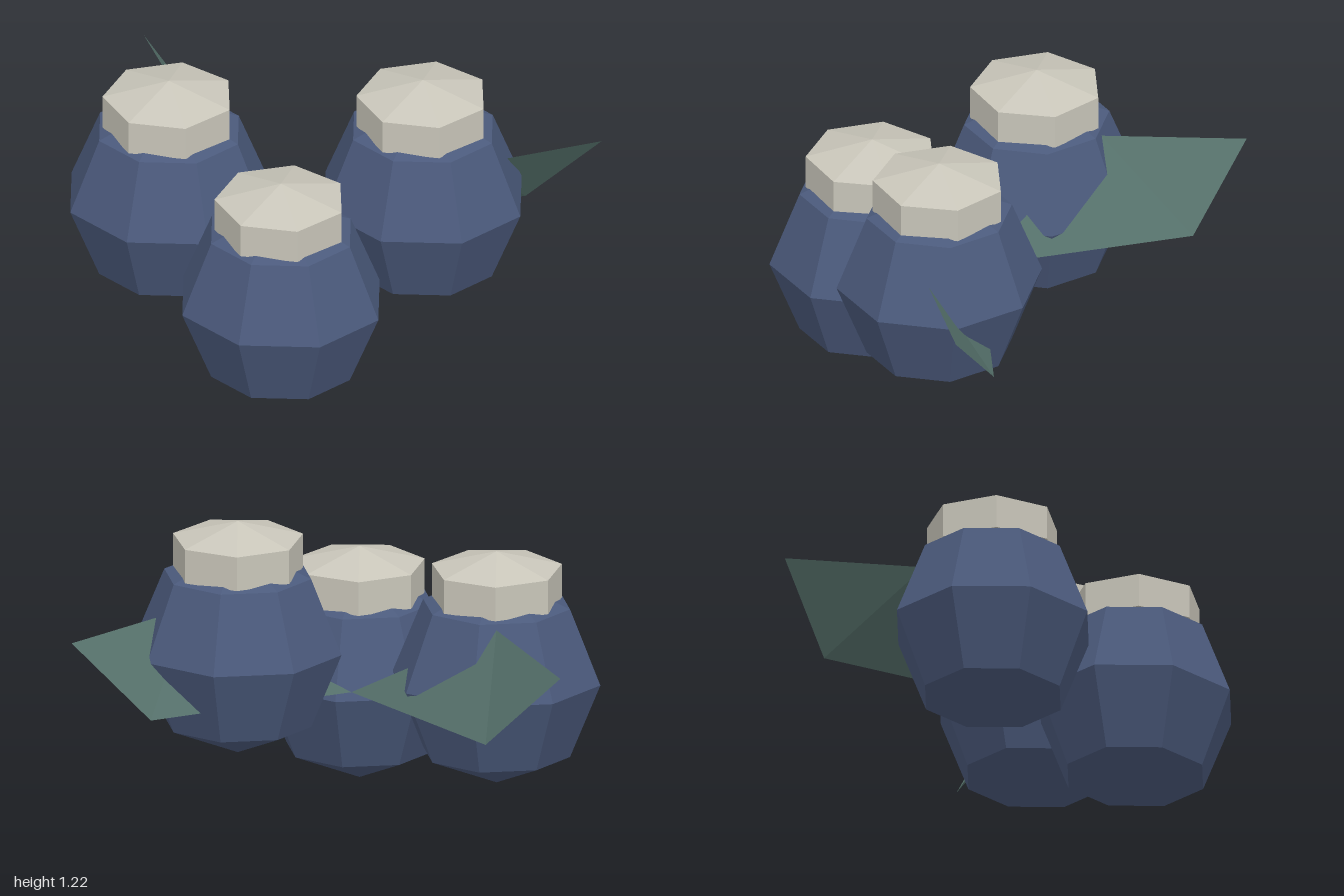
import * as THREE from 'three';

const flat = (name, color, extra = {}) => {
  const m = new THREE.MeshStandardMaterial({ color, ...extra });
  m.name = name;
  return m;
};

export function createModel() {
  const skin = flat('berryBlue', 0x4b5a7c, { flatShading: true });
  const cap = flat('paleCap', 0xc9c6ba, { flatShading: true });
  const green = flat('leafGreen', 0x55706a, { flatShading: true, side: THREE.DoubleSide });

  const model = new THREE.Group();
  model.name = 'berryCluster';

  // Faceted berry body and its seven-sided crown
  const bodyGeo = new THREE.SphereGeometry(1, 8, 4).scale(0.425, 0.435, 0.407);
  const crownGeo = new THREE.SphereGeometry(1, 7, 3).rotateY(Math.PI).scale(0.306, 0.14, 0.306);

  // Three berries, each a step higher than the last
  const spots = [[0.08, 0.435, 0.325], [-0.565, 0.565, -0.02], [0.437, 0.688, -0.255]];
  for (const [x, y, z] of spots) {
    const berry = new THREE.Group();
    berry.name = 'berry';
    const body = new THREE.Mesh(bodyGeo, skin);
    body.name = 'berryBody';
    const crown = new THREE.Mesh(crownGeo, cap);
    crown.name = 'berryCrown';
    crown.position.y = 0.388;
    berry.add(body, crown);
    berry.position.set(x, y, z);
    model.add(berry);
  }

  // Two mirrored leaves spreading backwards from the stem point
  for (const s of [1, -1]) {
    const geo = new THREE.BufferGeometry();
    geo.setAttribute('position', new THREE.Float32BufferAttribute([
      s, 0.81, -0.735,
      s * 0.685, 0.5, -0.697,
      0, 0.5, -0.14,
      s * 0.63, 0.85, -0.29,
    ], 3));
    geo.setIndex(s > 0 ? [0, 1, 3, 1, 2, 3] : [0, 3, 1, 1, 3, 2]);
    geo.computeVertexNormals();
    const leaf = new THREE.Mesh(geo, green);
    leaf.name = s > 0 ? 'leftLeaf' : 'rightLeaf';
    model.add(leaf);
  }
  return model;
}
